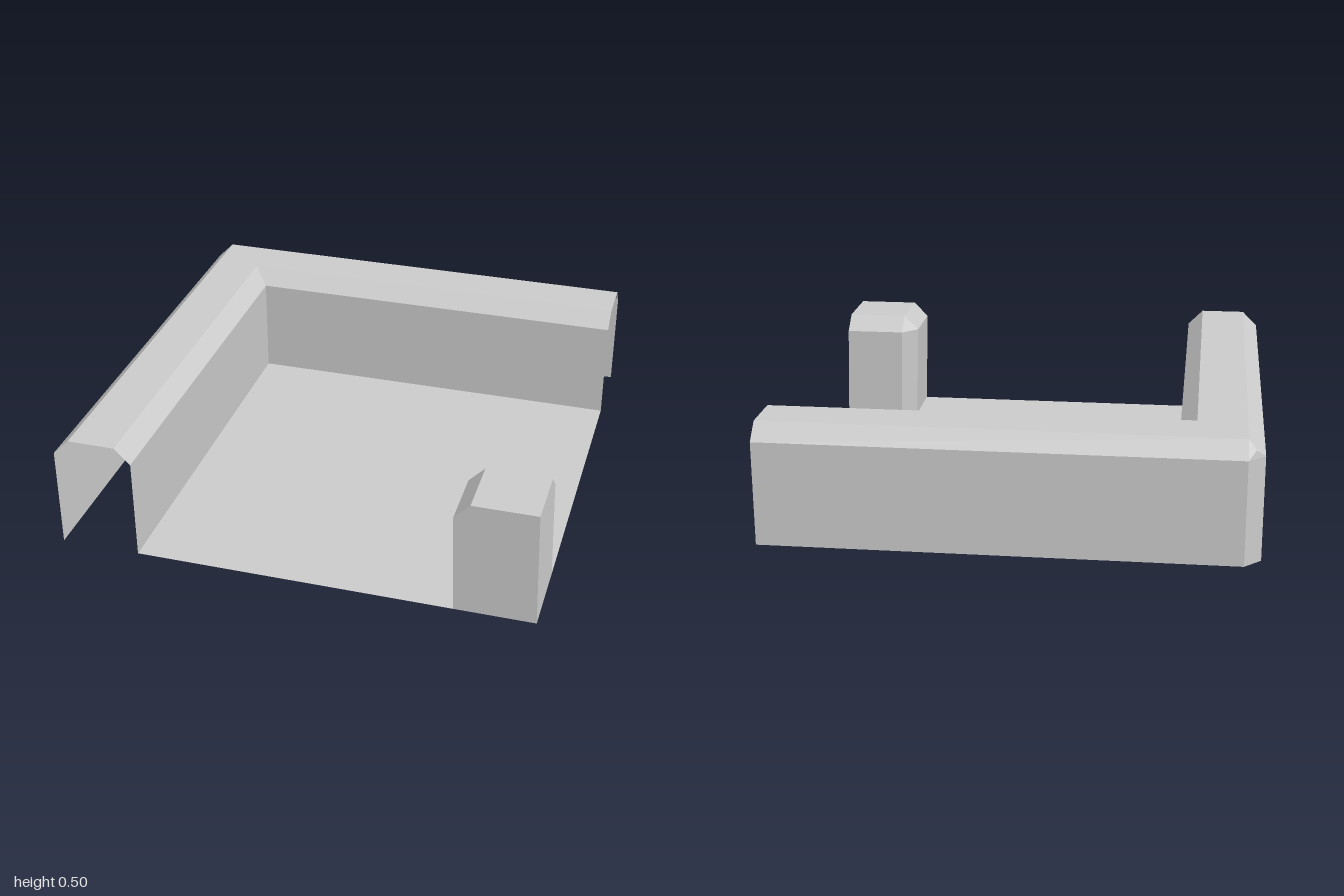
import * as THREE from 'three';

const H = 0.5;        // overall height
const B = 0.067;      // bevel width
const IN = 1 - 0.333; // inner face of the walls and post

const material = new THREE.MeshStandardMaterial({
  color: 0xcccccc, flatShading: true, side: THREE.DoubleSide,
});

// Flat-shaded mesh from a list of triangles, skipping collapsed ones
function meshFrom(name, triangles) {
  const pos = [];
  for (const [a, b, c] of triangles) {
    const area = new THREE.Triangle(a, b, c).getArea();
    if (area > 1e-7) for (const p of [a, b, c]) pos.push(p.x, p.y, p.z);
  }
  const geo = new THREE.BufferGeometry();
  geo.setAttribute('position', new THREE.Float32BufferAttribute(pos, 3));
  geo.computeVertexNormals();
  const mesh = new THREE.Mesh(geo, material);
  mesh.name = name;
  return mesh;
}

// A row is a line of [x, z] points at height y
const row = (y, points) => points.map(([x, z]) => new THREE.Vector3(x, y, z));

// Triangles joining successive rows
function loft(rows) {
  const out = [];
  for (let i = 0; i < rows.length - 1; i++) {
    for (let j = 0; j < rows[i].length - 1; j++) {
      const a = rows[i][j], b = rows[i][j + 1];
      const c = rows[i + 1][j + 1], d = rows[i + 1][j];
      out.push([a, b, c], [a, c, d]);
    }
  }
  return out;
}

// L-shaped line along the back and right walls, at distance d from centre,
// with its corner cut by an amount
const corner = (d, cut = 0) => [[1, -d], [cut - d, -d], [-d, cut - d], [-d, 1]];

function makeWalls() {
  const group = new THREE.Group();
  group.name = 'cornerWalls';

  // outer faces with a bevelled vertical corner
  const low = row(0, corner(1, B));
  const shoulder = row(H - B, corner(1, B));
  const crest = row(H, corner(1 - B));
  group.add(meshFrom('outerWall', loft([low, shoulder])));

  // top bevels; the corner gets a slightly raised cap
  const bevel = loft([shoulder, crest]).filter((t, i) => i !== 2 && i !== 3);
  const [a, b, c] = [shoulder[1], shoulder[2], crest[1]];
  const p = new THREE.Vector3(-0.963, 0.465, -0.963);
  bevel.push([a, b, p], [b, c, p], [c, a, p]);
  group.add(meshFrom('outerBevel', bevel));

  // flat top, inner bevel and inner faces
  group.add(meshFrom('wallTopAndInside', loft([
    crest,
    row(H, corner(IN + B)),
    row(H - B, corner(IN)),
    row(0, corner(IN)),
  ])));
  return group;
}

// Post outline, leaning slightly toward -x as it rises
function postRow(y, inset, cut) {
  const s = IN + inset;
  return row(y, [[1, s], [s + cut, s], [s, s + cut], [s, 1], [1, 1], [1, s]]
    .map(([x, z]) => [x - 0.03 * y, z]));
}

function makePost() {
  const top = postRow(H, B, 0);
  const cap = top.map(() => top[4]);
  return meshFrom('cornerPost', loft([
    postRow(0, 0, B), postRow(H - B, 0, B), top, cap,
  ]));
}

// Floor with a notch under the hollow post
function makeFloor() {
  const outline = [[-IN, -IN], [1, -IN], [1, IN], [IN + B, IN], [IN, IN + B], [IN, 1], [-IN, 1]];
  const shape = new THREE.Shape(outline.map(([x, z]) => new THREE.Vector2(x, -z)));
  const floor = new THREE.Mesh(new THREE.ShapeGeometry(shape).rotateX(-Math.PI / 2), material);
  floor.name = 'floor';
  return floor;
}

export function createModel() {
  const model = new THREE.Group();
  model.name = 'cornerTile';
  model.add(makeWalls(), makePost(), makeFloor());
  return model;
}
